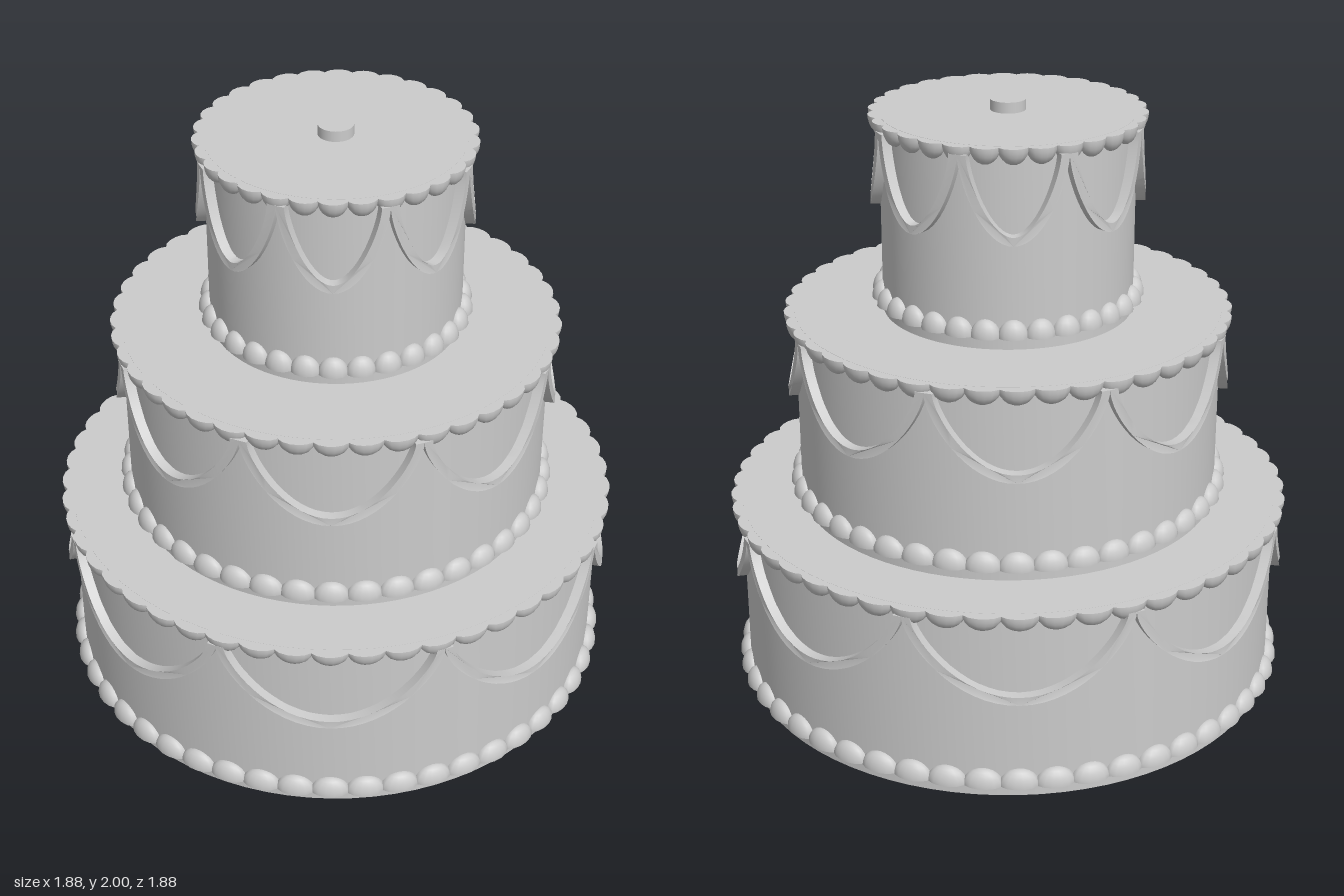
import * as THREE from 'three';
import { mergeGeometries, toCreasedNormals } from 'three/addons/utils/BufferGeometryUtils.js';

const material = new THREE.MeshStandardMaterial({ color: 0xcccccc });
const TIER_HEIGHT = 0.655;
const WALL = 0.025;
const SWAGS = 8;

const TIERS = [
  { name: 'bottomTier', radius: 0.905, hole: 0.675, beads: 50 },
  { name: 'middleTier', radius: 0.7, hole: 0.385, beads: 42 },
  { name: 'topTier', radius: 0.41, hole: 0, beads: 30 },
];

function addMesh(group, name, geometry) {
  const mesh = new THREE.Mesh(geometry, material);
  mesh.name = name;
  group.add(mesh);
  return mesh;
}

// Hollow drum: outer wall, top with an opening to the next tier, inner wall
function tierBody({ radius, hole }) {
  const inner = radius - WALL, top = TIER_HEIGHT, ceiling = TIER_HEIGHT - WALL;
  const profile = [
    [inner, 0], [radius, 0], [radius, top], [hole, top],
    [hole, ceiling], [inner, ceiling], [inner, 0],
  ].map(([r, y]) => new THREE.Vector2(r, y));
  return toCreasedNormals(new THREE.LatheGeometry(profile, 80), 0.6);
}

// Ring of half-ellipsoid icing beads, flat on top (hanging) or flat below (standing)
function beadRing({ radius, beads }, hanging) {
  const halfWidth = (Math.PI * radius / beads) * 1.12;
  const dome = new THREE.SphereGeometry(1, 14, 6, 0, Math.PI * 2, 0, Math.PI / 2);
  const base = new THREE.CircleGeometry(1, 14).rotateX(Math.PI / 2);
  const bead = mergeGeometries([dome, base]).scale(halfWidth, 0.057, 0.036);
  if (hanging) bead.rotateX(Math.PI);
  bead.translate(0, 0, radius);
  const ring = [];
  for (let i = 0; i < beads; i++) {
    ring.push(bead.clone().rotateY((i / beads) * Math.PI * 2));
  }
  return mergeGeometries(ring);
}

// One draped band, drawn flat and then wrapped around the tier wall
function swag({ radius }) {
  const outer = radius + 0.032, depth = 0.042, width = 0.028;
  const half = (Math.PI / SWAGS) * outer;
  const bottom = 0.35, drop = 0.28, steps = 32;
  const lower = [], upper = [];
  for (let i = 0; i <= steps; i++) {
    const u = (i / steps - 0.5) * Math.PI;
    const x = half * Math.sin(u);
    const y = bottom + drop * 0.5 * (Math.sin(u) ** 2 + 1 - Math.cos(u));
    // Normal of the curve, pointing into the drape
    const dx = half * Math.cos(u);
    const dy = drop * 0.5 * (Math.sin(2 * u) + Math.sin(u));
    const length = Math.hypot(dx, dy);
    lower.push(new THREE.Vector2(x, y));
    upper.push(new THREE.Vector2(x - (dy / length) * width, y + (dx / length) * width));
  }
  const shape = new THREE.Shape([...lower, ...upper.reverse()]);
  const geometry = new THREE.ExtrudeGeometry(shape, { depth, bevelEnabled: false });
  const p = geometry.attributes.position;
  for (let i = 0; i < p.count; i++) {
    const angle = p.getX(i) / outer;
    const r = outer - depth + p.getZ(i);
    p.setXYZ(i, r * Math.sin(angle), p.getY(i), r * Math.cos(angle));
  }
  return toCreasedNormals(geometry, 0.6);
}

export function createModel() {
  const model = new THREE.Group();
  model.name = 'tieredCake';

  TIERS.forEach((tier, level) => {
    const group = new THREE.Group();
    group.name = tier.name;
    group.position.y = level * TIER_HEIGHT;
    addMesh(group, 'tierBody', tierBody(tier));
    addMesh(group, 'lowerBeads', beadRing(tier, false)).position.y = 0.043;
    addMesh(group, 'upperBeads', beadRing(tier, true)).position.y = TIER_HEIGHT - 0.0005;

    const drape = swag(tier);
    for (let i = 0; i < SWAGS; i++) {
      addMesh(group, 'swag', drape).rotation.y = (i / SWAGS) * Math.PI * 2;
    }
    model.add(group);
  });

  // Small round stub on the summit
  const summit = TIERS.length * TIER_HEIGHT;
  const stub = addMesh(model, 'topStub', new THREE.CylinderGeometry(0.057, 0.057, 2 - summit, 32));
  stub.position.y = (2 + summit) / 2;

  return model;
}
